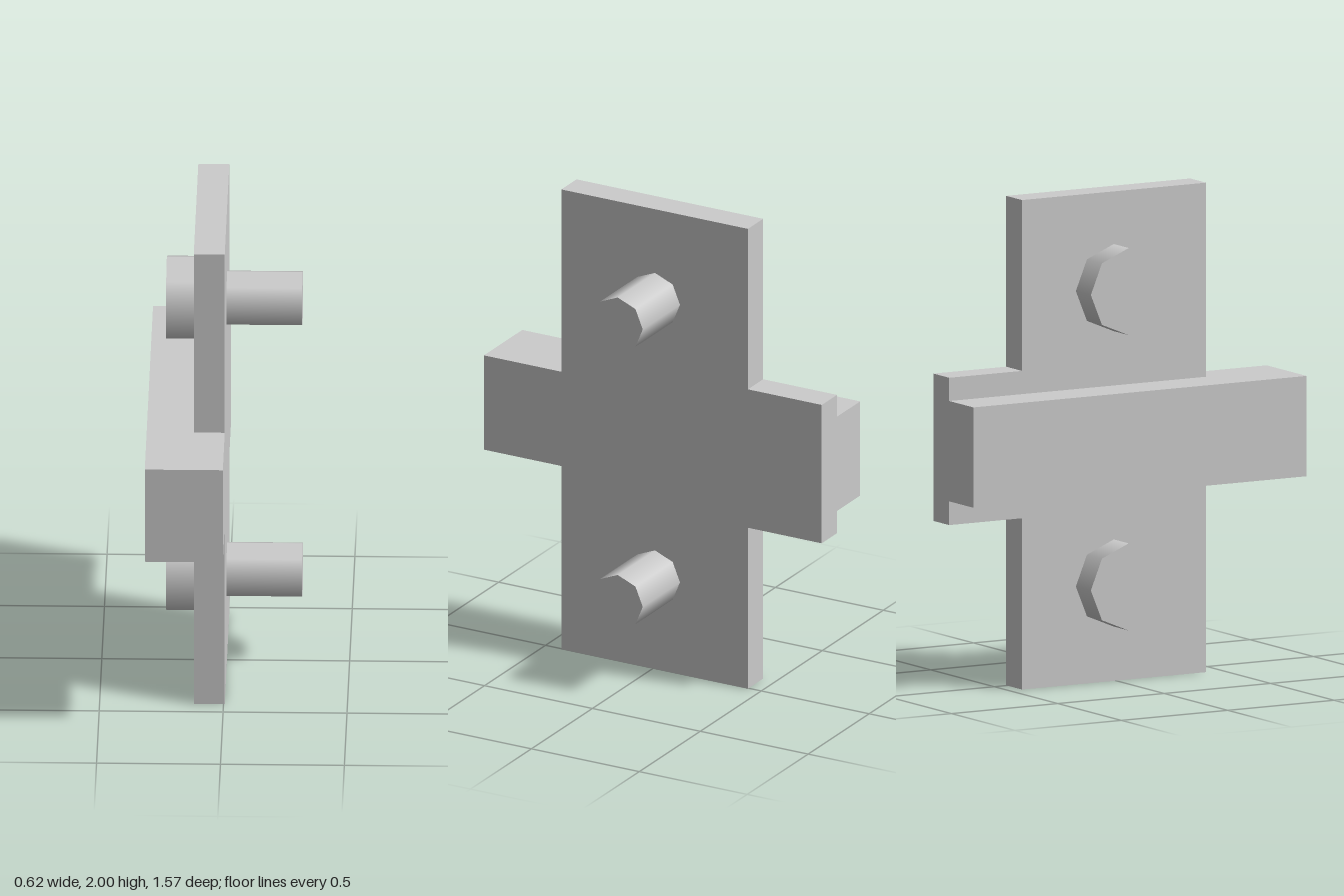
import * as THREE from 'three';

const material = new THREE.MeshStandardMaterial({ color: 0xcccccc });

function addMesh(parent, name, geometry) {
  const mesh = new THREE.Mesh(geometry, material);
  mesh.name = name;
  parent.add(mesh);
  return mesh;
}

export function createModel() {
  const model = new THREE.Group();
  model.name = 'boltedBracket';

  const xBack = -0.31, xPlate = -0.12, xFace = 0.005, xTip = 0.31;
  const zEnd = 0.783;

  // Cross-shaped plate: outline as (-z, y), extruded along x
  const outline = [
    [-0.424, 0], [0.441, 0], [0.441, 0.7], [zEnd, 0.7], [zEnd, 1.302], [0.441, 1.302],
    [0.441, 2], [-0.424, 2], [-0.424, 1.207], [-zEnd, 1.207], [-zEnd, 0.797], [-0.424, 0.797],
  ];
  const shape = new THREE.Shape(outline.map(([u, y]) => new THREE.Vector2(u, y)));
  const plate = new THREE.ExtrudeGeometry(shape, { depth: xFace - xPlate, bevelEnabled: false });
  plate.rotateY(Math.PI / 2).translate(xPlate, 0, 0);
  addMesh(model, 'plate', plate);

  // Horizontal rail behind the plate
  const rail = new THREE.BoxGeometry(xPlate - xBack, 0.41, 2 * zEnd);
  addMesh(model, 'rail', rail).position.set((xBack + xPlate) / 2, 1.002, 0);

  // Eight-sided bolts: wide head at the back, shank out of the face
  const cylinderAlongX = (radius, x0, x1) =>
    new THREE.CylinderGeometry(radius, radius, x1 - x0, 8)
      .rotateZ(-Math.PI / 2)
      .translate((x0 + x1) / 2, 0, 0);
  [['upperBolt', 1.607], ['lowerBolt', 0.4]].forEach(([name, y]) => {
    const bolt = new THREE.Group();
    bolt.name = name;
    bolt.position.set(0, y, -0.01);
    addMesh(bolt, 'boltHead', cylinderAlongX(0.178, -0.238, xPlate));
    addMesh(bolt, 'boltShank', cylinderAlongX(0.116, xFace, xTip));
    model.add(bolt);
  });

  return model;
}
